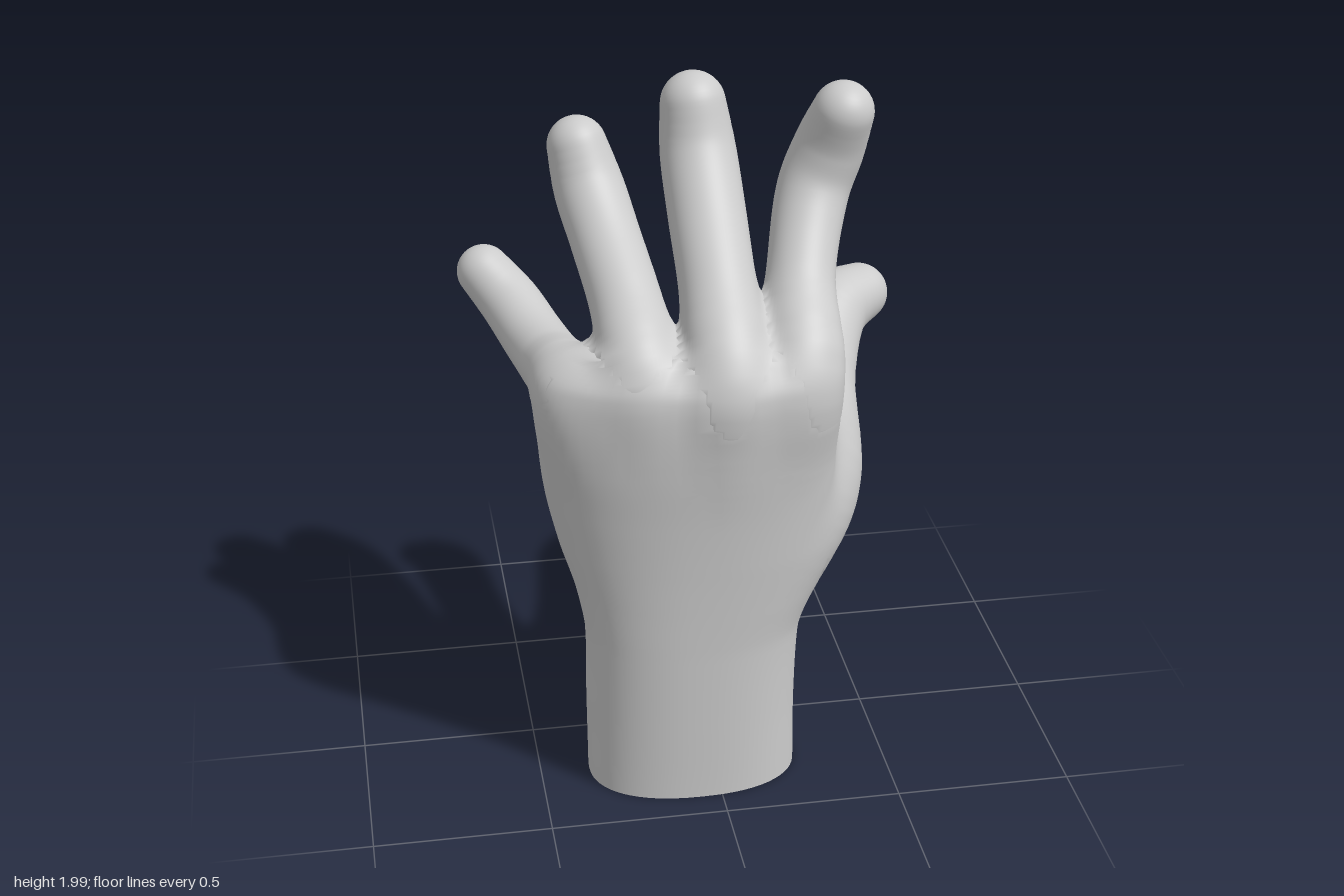
import * as THREE from 'three';

const SIDES = 64;
const ROUND = 2.3; // squareness of the palm sections
const TOP = 1.365; // height of the knuckle end of the palm
const material = new THREE.MeshStandardMaterial({ color: 0xcccccc });

// Wrist and palm sections: [y, xMin, xMax, zMin, zMax, slant towards the little finger]
const PALM = [
  [0.01, -0.36, 0.24, 0.02, 0.42, 0],
  [0.25, -0.36, 0.24, 0.0, 0.425, 0],
  [0.48, -0.36, 0.25, 0.0, 0.43, 0],
  [0.62, -0.385, 0.285, -0.02, 0.435, 0.03],
  [0.75, -0.425, 0.32, -0.05, 0.44, 0.06],
  [0.9, -0.458, 0.335, -0.04, 0.447, 0.08],
  [1.05, -0.476, 0.33, 0.02, 0.457, 0.1],
  [1.2, -0.482, 0.315, 0.1, 0.462, 0.13],
  [1.29, -0.46, 0.3, 0.145, 0.455, 0.14],
  [TOP, -0.4, 0.28, 0.185, 0.42, 0.14],
];

// Digit paths of [x, y, z, radius], rooted inside the palm so they swell out as knuckles
const DIGITS = {
  thumbWeb: [
    [0.19, 1.18, 0.31, 0.08], [0.22, 1.12, 0.22, 0.095], [0.265, 1.04, 0.11, 0.1], [0.32, 0.96, -0.03, 0.1],
  ],
  thumb: [
    [0.08, 0.56, 0.22, 0.09], [0.225, 0.735, 0.15, 0.16], [0.285, 0.86, 0.08, 0.172],
    [0.322, 0.96, -0.06, 0.147], [0.383, 1.075, -0.21, 0.122], [0.45, 1.16, -0.335, 0.112], [0.552, 1.185, -0.405, 0.088],
  ],
  indexFinger: [
    [0.13, 0.9, 0.28, 0.09], [0.19, 1.13, 0.315, 0.115], [0.225, 1.31, 0.325, 0.118],
    [0.255, 1.49, 0.155, 0.095], [0.312, 1.67, 0.01, 0.1], [0.36, 1.8, -0.005, 0.098], [0.388, 1.918, 0.04, 0.084],
  ],
  middleFinger: [
    [0, 0.9, 0.31, 0.09], [0.01, 1.14, 0.345, 0.112], [0.02, 1.31, 0.352, 0.12],
    [0.022, 1.485, 0.19, 0.106], [0.02, 1.64, 0.025, 0.107], [0.014, 1.78, -0.085, 0.105], [0.005, 1.91, -0.115, 0.09],
  ],
  ringFinger: [
    [-0.14, 0.9, 0.28, 0.09], [-0.18, 1.14, 0.305, 0.11], [-0.205, 1.31, 0.302, 0.112],
    [-0.22, 1.44, 0.14, 0.1], [-0.25, 1.56, -0.03, 0.098], [-0.28, 1.67, -0.14, 0.098], [-0.307, 1.785, -0.18, 0.083],
  ],
  littleFinger: [
    [-0.3, 0.95, 0.24, 0.08], [-0.355, 1.13, 0.25, 0.1], [-0.385, 1.25, 0.22, 0.104],
    [-0.42, 1.25, 0.06, 0.092], [-0.455, 1.27, -0.07, 0.088], [-0.505, 1.325, -0.19, 0.085], [-0.57, 1.395, -0.26, 0.076],
  ],
};

// Smooth interpolation through rows of numbers, t counted in rows
function sample(rows, t) {
  const last = rows.length - 1;
  const i = Math.max(0, Math.min(Math.floor(t), last - 1));
  const f = t - i;
  const row = (k) => rows[Math.max(0, Math.min(last, k))];
  const [a, b, d, e] = [row(i - 1), row(i), row(i + 1), row(i + 2)];
  return b.map((v, c) => {
    const m0 = (d[c] - a[c]) / 2, m1 = (e[c] - v) / 2, rise = d[c] - v;
    return v + m0 * f + (3 * rise - 2 * m0 - m1) * f * f + (m0 + m1 - 2 * rise) * f ** 3;
  });
}

// Smooth minimum of two distances
function soften(a, b, k) {
  const h = Math.max(k - Math.abs(a - b), 0);
  return Math.min(a, b) - h * h / (4 * k);
}

// Skin over rings of points: flat cap at the start, smooth pole at the end
function loft(name, rings, pole, distance, blend) {
  const points = rings.flat();
  const index = [];
  const n = SIDES;
  for (let i = 0; i < rings.length - 1; i++) {
    for (let j = 0; j < n; j++) {
      const a = i * n + j, b = i * n + (j + 1) % n;
      index.push(a, b, b + n, a, b + n, a + n);
    }
  }
  const top = (rings.length - 1) * n;
  const poleId = points.push(pole) - 1;
  const skinCount = points.push(...rings[0]) - n;
  const centre = new THREE.Vector3();
  rings[0].forEach((p) => centre.addScaledVector(p, 1 / n));
  const centreId = points.push(centre) - 1;
  for (let j = 0; j < n; j++) {
    const k = (j + 1) % n;
    index.push(top + j, top + k, poleId, skinCount + k, skinCount + j, centreId);
  }
  const geometry = new THREE.BufferGeometry().setFromPoints(points);
  geometry.setIndex(index);
  geometry.computeVertexNormals();
  const mesh = new THREE.Mesh(geometry, material);
  mesh.name = name;
  return { mesh, skinCount, distance, blend };
}

// Round digit along its path, ending in a rounded tip
function digit(name, path) {
  const rings = [];
  const steps = 60, tipSteps = 10, last = path.length - 1;
  const at = (t) => new THREE.Vector3(...sample(path, t * last));
  const ring = (centre, dir, r) => {
    const side = new THREE.Vector3(1, 0, 0).addScaledVector(dir, -dir.x).normalize();
    const up = dir.clone().cross(side);
    return Array.from({ length: SIDES }, (_, j) => {
      const a = j / SIDES * Math.PI * 2;
      return centre.clone().addScaledVector(side, r * Math.cos(a)).addScaledVector(up, r * Math.sin(a));
    });
  };
  let dir;
  for (let i = 0; i <= steps; i++) {
    const t = i / steps;
    dir = at(Math.min(1, t + 0.01)).sub(at(Math.max(0, t - 0.01))).normalize();
    rings.push(ring(at(t), dir, sample(path, t * last)[3]));
  }
  const end = at(1), r = path[last][3];
  for (let i = 1; i < tipSteps; i++) {
    const a = i / tipSteps * Math.PI / 2;
    rings.push(ring(end.clone().addScaledVector(dir, r * Math.sin(a)), dir, r * Math.cos(a)));
  }

  // Distance to a chain of tapered capsules
  const links = 40;
  const chain = Array.from({ length: links + 1 }, (_, i) => sample(path, i / links * last));
  const distance = (p) => {
    let best = Infinity;
    for (let i = 0; i < links; i++) {
      const [ax, ay, az, ar] = chain[i], [bx, by, bz, br] = chain[i + 1];
      const x = bx - ax, y = by - ay, z = bz - az;
      const px = p.x - ax, py = p.y - ay, pz = p.z - az;
      const h = Math.max(0, Math.min(1, (px * x + py * y + pz * z) / (x * x + y * y + z * z)));
      best = Math.min(best, Math.hypot(px - h * x, py - h * y, pz - h * z) - ar - h * (br - ar));
    }
    return best;
  };
  // The thumb flows softly into the palm, the fingers meet it more crisply
  const blend = name.startsWith('thumb') ? 0.1 : 0.05;
  return loft(name, rings, end.clone().addScaledVector(dir, r), distance, blend);
}

function palm() {
  const rings = [];
  const power = (v) => Math.sign(v) * Math.abs(v) ** (2 / ROUND);
  const ring = ([y, x0, x1, z0, z1, slant], scale) => Array.from({ length: SIDES }, (_, j) => {
    const a = j / SIDES * Math.PI * 2;
    const dx = scale * (x1 - x0) / 2 * power(Math.sin(a));
    const dz = scale * (z1 - z0) / 2 * power(Math.cos(a)) + slant * dx;
    return new THREE.Vector3((x0 + x1) / 2 + dx, y, (z0 + z1) / 2 + dz);
  });
  const last = PALM.length - 1;
  for (let i = 0; i <= 72; i++) rings.push(ring(sample(PALM, i / 72 * last), 1));
  for (const scale of [0.9, 0.75, 0.5, 0.25]) rings.push(ring(PALM[last], scale));

  // Distance to the section at this height, rounded off against the knuckle end
  const distance = (p) => {
    const y = Math.max(PALM[0][0], Math.min(TOP, p.y));
    let i = 0;
    while (i < last - 1 && PALM[i + 1][0] < y) i++;
    const t = i + (y - PALM[i][0]) / (PALM[i + 1][0] - PALM[i][0]);
    const [, x0, x1, z0, z1, slant] = sample(PALM, t);
    const dx = p.x - (x0 + x1) / 2, dz = p.z - (z0 + z1) / 2 - slant * dx;
    const g = (Math.abs(2 * dx / (x1 - x0)) ** ROUND + Math.abs(2 * dz / (z1 - z0)) ** ROUND) ** (1 / ROUND);
    const radial = Math.hypot(dx, dz) * (1 - 1 / Math.max(g, 0.001));
    return -soften(-radial, TOP - p.y, 0.08);
  };
  return loft('palmAndWrist', rings, new THREE.Vector3(-0.06, TOP, 0.3025), distance, 0.05);
}

// Move every part's surface onto one soft skin so knuckles, webs and thumb flow together
function blendParts(parts) {
  const skin = (p) => parts.reduce((d, part) => soften(d, part.distance(p), part.blend), 10);
  const e = 0.012;
  for (const part of parts) {
    const { geometry } = part.mesh;
    const { position, normal } = geometry.attributes;
    const others = parts.filter((other) => other !== part);
    const buried = [];
    const p = new THREE.Vector3(), n = new THREE.Vector3(), q = new THREE.Vector3();
    const slope = (x, y, z) => skin(q.set(p.x + x, p.y + y, p.z + z)) - skin(q.set(p.x - x, p.y - y, p.z - z));
    for (let i = 0; i < position.count; i++) {
      p.fromBufferAttribute(position, i);
      n.fromBufferAttribute(normal, i);
      buried[i] = others.some((other) => other.distance(p) < 0);
      if (buried[i] || i >= part.skinCount) continue;
      let shift = 0;
      for (let k = 0; k < 6; k++) {
        shift -= skin(q.copy(p).addScaledVector(n, shift));
        shift = Math.max(-0.05, Math.min(0.06, shift));
      }
      p.addScaledVector(n, shift);
      position.setXYZ(i, p.x, p.y, p.z);
      n.set(slope(e, 0, 0), slope(0, e, 0), slope(0, 0, e)).normalize();
      normal.setXYZ(i, n.x, n.y, n.z);
    }
    // Leave out faces hidden inside another part
    const faces = geometry.index.array;
    const kept = [];
    for (let i = 0; i < faces.length; i += 3) {
      const face = [faces[i], faces[i + 1], faces[i + 2]];
      if (!face.every((v) => buried[v])) kept.push(...face);
    }
    geometry.setIndex(kept);
  }
}

export function createModel() {
  const parts = [palm(), ...Object.entries(DIGITS).map(([name, path]) => digit(name, path))];
  blendParts(parts);
  const hand = new THREE.Group();
  hand.name = 'hand';
  hand.add(...parts.map((part) => part.mesh));
  return hand;
}
